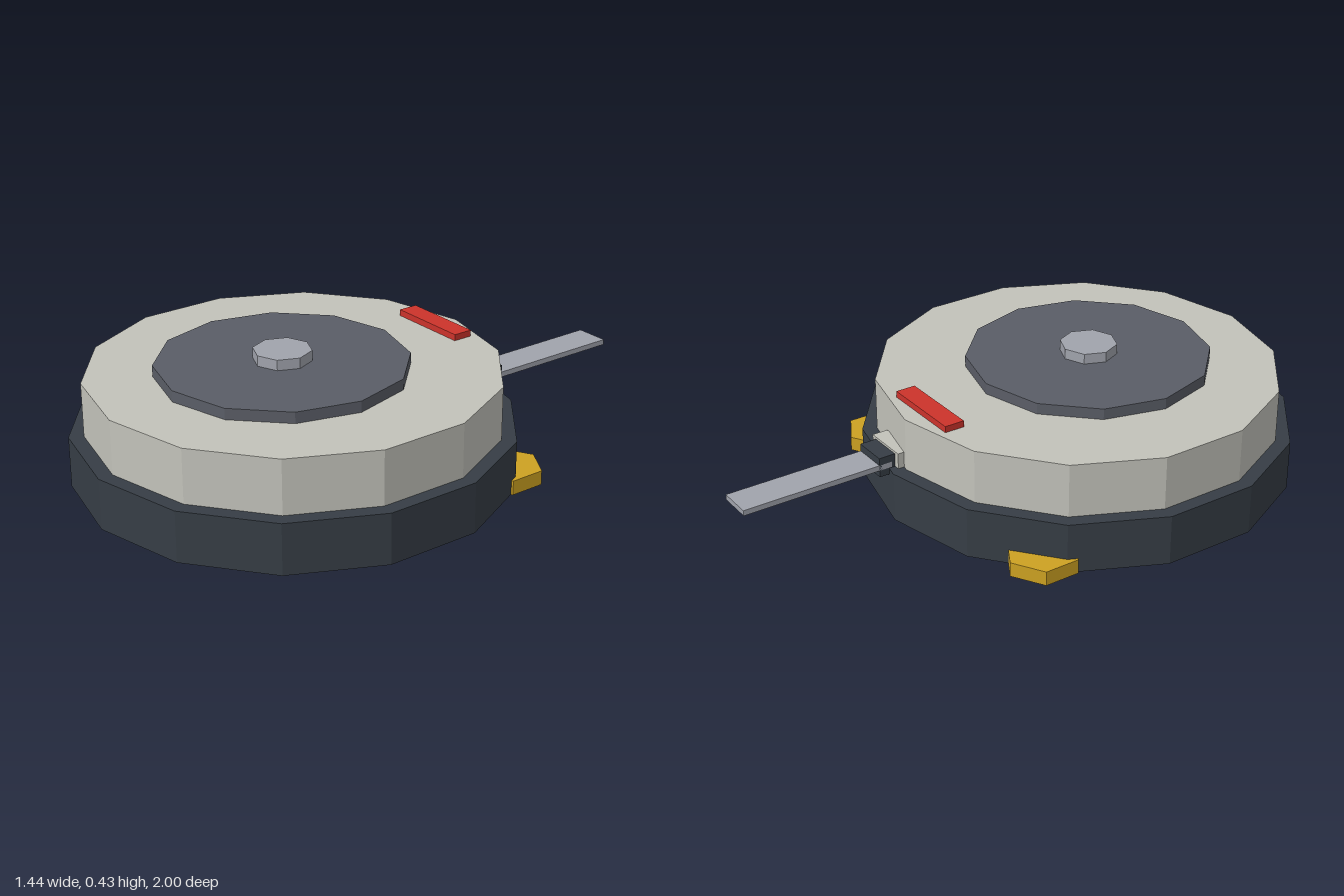
import * as THREE from 'three';

function material(name, color) {
  const m = new THREE.MeshStandardMaterial({ color, flatShading: true });
  m.name = name;
  return m;
}

export function createModel() {
  const group = new THREE.Group();
  const dark = material('dark slate', 0x363d45);
  const shell = material('warm grey', 0xc2c2ba);
  const slate = material('dial grey', 0x5a5d66);
  const metal = material('light metal', 0xa0a3ac);
  const red = material('red', 0xcc332b);
  const yellow = material('yellow', 0xcda122);

  const add = (name, geometry, mat, x, y, z) => {
    const mesh = new THREE.Mesh(geometry, mat);
    mesh.name = name;
    mesh.position.set(x, y, z);
    group.add(mesh);
  };
  // Upright prism between two heights, with a corner facing the front
  const disc = (name, mat, r, sides, x, y0, y1, z) =>
    add(name, new THREE.CylinderGeometry(r, r, y1 - y0, sides), mat, x, (y0 + y1) / 2, z);
  // Box from its lower and upper limits
  const block = (name, mat, [x0, x1], [y0, y1], [z0, z1]) =>
    add(name, new THREE.BoxGeometry(x1 - x0, y1 - y0, z1 - z0), mat,
      (x0 + x1) / 2, (y0 + y1) / 2, (z0 + z1) / 2);

  // Stacked round body
  disc('base', dark, 0.74, 14, 0, 0.001, 0.175, 0.26);
  disc('case', shell, 0.69, 14, 0, 0.175, 0.36, 0.26);
  disc('dial', slate, 0.42, 12, 0, 0.36, 0.398, 0.305);
  disc('knob', metal, 0.098, 8, 0, 0.398, 0.434, 0.305);

  // Marker bar on top, near the back
  block('markerBar', red, [-0.148, 0.148], [0.355, 0.382], [-0.37, -0.3]);

  // Strap leaving the back through a clamp
  block('strapMount', shell, [0.02, 0.18], [0.165, 0.23], [-0.448, -0.392]);
  block('strapClamp', dark, [0.04, 0.16], [0.153, 0.222], [-0.507, -0.438]);
  block('strap', metal, [0.04, 0.16], [0.177, 0.196], [-1, -0.46]);

  // Hexagonal feet at both back corners
  for (const side of [-1, 1]) {
    disc(side > 0 ? 'leftFoot' : 'rightFoot', yellow, 0.124, 6, side * 0.492, 0, 0.05, -0.235);
  }
  return group;
}
